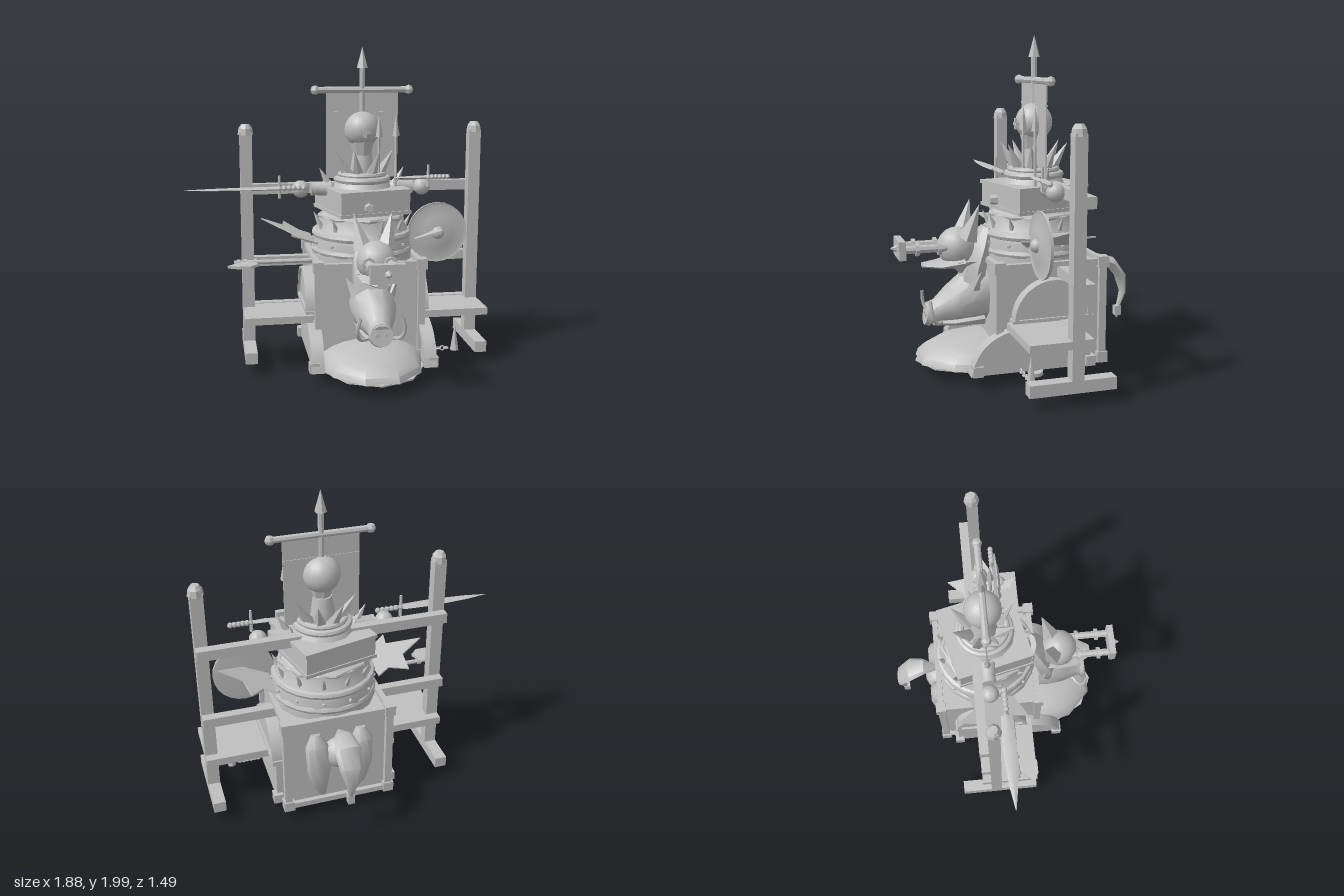
import * as THREE from 'three';
import { toCreasedNormals } from 'three/addons/utils/BufferGeometryUtils.js';

const V = (x, y, z) => new THREE.Vector3(x, y, z);

// Tube of elliptical sections [x, y, z, halfWidth, halfThickness] along a path in the yz plane
function loft(sections, n = 10) {
  const pos = [], idx = [], last = sections.length - 1;
  sections.forEach(([x, y, z, rx, rn], i) => {
    const p = sections[Math.max(0, i - 1)], q = sections[Math.min(last, i + 1)];
    const l = Math.hypot(q[1] - p[1], q[2] - p[2]), ty = (q[1] - p[1]) / l, tz = (q[2] - p[2]) / l;
    for (let j = 0; j < n; j++) {
      const a = j / n * Math.PI * 2, s = Math.sin(a) * rn;
      pos.push(x + Math.cos(a) * rx, y + tz * s, z - ty * s);
    }
  });
  for (let i = 0; i < last; i++) for (let j = 0; j < n; j++) {
    const k = (j + 1) % n, a = i * n + j, b = i * n + k;
    idx.push(a, b, a + n, b, b + n, a + n);
  }
  for (let j = 1; j < n - 1; j++) idx.push(0, j + 1, j, last * n, last * n + j, last * n + j + 1);
  const g = new THREE.BufferGeometry();
  g.setAttribute('position', new THREE.Float32BufferAttribute(pos, 3));
  g.setIndex(idx);
  return g;
}

export function createModel() {
  const grey = new THREE.MeshStandardMaterial({ color: 0xbfbfbf, side: THREE.DoubleSide });
  grey.name = 'stone grey';
  const model = new THREE.Group();
  const root = new THREE.Group();
  root.name = 'warMachine';
  root.position.x = 0.165;
  model.add(root);

  const add = (name, geo, x = 0, y = 0, z = 0, rx = 0, ry = 0, rz = 0) => {
    const m = new THREE.Mesh(toCreasedNormals(geo, 0.65), grey);
    m.name = name;
    m.position.set(x, y, z);
    m.rotation.set(rx, ry, rz);
    root.add(m);
    return m;
  };
  const box = (name, w, h, d, x, y, z, ry = 0) => add(name, new THREE.BoxGeometry(w, h, d), x, y, z, 0, ry);
  const ball = (name, r, x, y, z, n = 14) => add(name, new THREE.SphereGeometry(r, n, n - 4), x, y, z);
  const rod = (name, a, b, r0, r1 = r0, n = 8) => {
    const d = b.clone().sub(a), c = a.clone().add(b).multiplyScalar(0.5);
    const m = add(name, new THREE.CylinderGeometry(r1, r0, d.length(), n), c.x, c.y, c.z);
    m.quaternion.setFromUnitVectors(V(0, 1, 0), d.normalize());
    return m;
  };
  const ring = (name, r, t, y, n = 24) => add(name, new THREE.TorusGeometry(r, t, 8, n), 0, y, Z, Math.PI / 2);
  const shape = pts => new THREE.Shape(pts.map(p => new THREE.Vector2(p[0], p[1])));
  const slab = (s, depth) => new THREE.ExtrudeGeometry(s, { depth, bevelEnabled: false, curveSegments: 14 });
  const Z = -0.13;

  // Cabin with corner posts and edge rails
  box('cabin', 0.63, 0.6, 0.62, 0, 0.38, Z);
  for (const s of [-1, 1]) {
    for (const z of [-0.45, 0.18]) {
      box('cornerPost', 0.045, 0.6, 0.045, s * 0.32, 0.39, z);
      for (const y of [0.11, 0.69]) box('cornerCap', 0.065, 0.065, 0.065, s * 0.32, y, z);
    }
    for (const y of [0.1, 0.69]) box('sideRail', 0.035, 0.035, 0.62, s * 0.32, y, Z);
  }
  for (const z of [-0.45, 0.18]) for (const y of [0.1, 0.69]) box('crossRail', 0.63, 0.035, 0.035, 0, y, z);

  // Front apron: flattened half dome on a flat floor
  const apron = new THREE.SphereGeometry(1, 10, 6, 0, Math.PI * 2, 0, Math.PI / 2);
  apron.scale(0.33, 0.15, 0.43);
  add('apron', apron, 0, 0.08, 0.18);
  const floor = new THREE.CylinderGeometry(1, 1, 0.01, 10);
  floor.scale(0.33, 1, 0.43);
  add('apronFloor', floor, 0, 0.08, 0.18);

  // Arched side panels and curved front fenders
  const half = r => { const s = new THREE.Shape(); s.moveTo(r, 0); s.absarc(0, 0, r, 0, Math.PI); return s; };
  const rim = half(0.235);
  rim.holes.push(new THREE.Path().absarc(0, 0.012, 0.21, 0, Math.PI));
  const fender = new THREE.Shape();
  fender.moveTo(0.35, 0.08);
  fender.quadraticCurveTo(0.31, 0.29, 0.1, 0.32);
  fender.lineTo(0.1, 0.08);
  const fenderRim = new THREE.Shape();
  fenderRim.moveTo(0.36, 0.08);
  fenderRim.quadraticCurveTo(0.32, 0.3, 0.1, 0.335);
  fenderRim.lineTo(0.1, 0.305);
  fenderRim.quadraticCurveTo(0.29, 0.27, 0.325, 0.08);
  for (const s of [-1, 1]) {
    const panel = (name, sh, d, y, z) => add(name, slab(sh, d), s * 0.345 + d / 2, y, z, 0, -Math.PI / 2);
    panel('archPanel', half(0.23), 0.06, 0.38, Z);
    panel('archRim', rim, 0.09, 0.38, Z);
    panel('fender', fender, 0.05, 0, 0);
    panel('fenderRim', fenderRim, 0.08, 0, 0);
    box('lowerPanel', 0.05, 0.3, 0.47, s * 0.345, 0.23, Z);
    box('archSill', 0.09, 0.03, 0.49, s * 0.345, 0.375, Z);
    for (const z of [0.32, -0.36]) box('sideCap', 0.06, 0.06, 0.06, s * 0.365, 0.11, z);
    // Stepped frame beside the cabin
    const px = s * 0.728;
    box('tallPost', 0.075, 1.4, 0.07, px, 0.78, -0.135);
    add('postCap', new THREE.CylinderGeometry(0.042, 0.048, 0.04, 8), px, 1.485, -0.135);
    add('postKnob', new THREE.CylinderGeometry(0.025, 0.042, 0.025, 8), px, 1.518, -0.135);
    box('postFoot', 0.075, 0.07, 0.5, px, 0.115, -0.11);
    box('step', 0.42, 0.045, 0.34, s * 0.555, 0.35, -0.03);
  }
  for (const [y, h] of [[1.117, 0.065], [0.65, 0.06], [0.352, 0.05]]) box('frameBar', 1.53, h, 0.055, 0, y, -0.198);

  // Stepped round turret
  const turret = [[0.32, 0.68], [0.32, 0.73], [0.31, 0.8], [0.3, 0.86], [0.285, 0.88], [0.27, 0.95], [0.23, 0.98], [0, 0.98]];
  add('turret', new THREE.LatheGeometry(turret.map(p => new THREE.Vector2(p[0], p[1])), 16), 0, 0, Z);
  ring('turretRing', 0.3, 0.025, 0.74);
  ring('turretRing', 0.295, 0.025, 0.84);
  ring('turretRing', 0.27, 0.015, 0.95, 8);
  for (let i = 0; i < 12; i++) {
    const a = (i + 0.5) / 12 * Math.PI * 2, c = Math.cos(a), s = Math.sin(a);
    rod('turretSpike', V(c * 0.27, 0.88, Z + s * 0.27), V(c * 0.31, 0.96, Z + s * 0.31), 0.02, 0.001, 5);
    ball('turretStud', 0.012, c * 0.315, 0.79, Z + s * 0.315, 7);
  }

  // Twisted block with bolts, then collar
  box('chestBlock', 0.46, 0.15, 0.46, 0, 1.05, Z, 0.23);
  for (const y of [0.985, 1.12]) box('chestBand', 0.475, 0.022, 0.475, 0, y, Z, 0.23);
  rod('chestBolt', V(0, 1.03, 0.1), V(0, 1.03, 0.145), 0.033, 0.025, 6);
  add('shoulders', new THREE.CylinderGeometry(0.14, 0.2, 0.1, 12), 0, 1.16, Z);
  ring('collar', 0.16, 0.022, 1.18);
  ring('collar', 0.14, 0.018, 1.21);
  for (let i = 0; i < 8; i++) {
    const a = (i + 0.5) / 8 * Math.PI * 2, c = Math.cos(a), s = Math.sin(a);
    rod('collarSpike', V(c * 0.1, 1.2, Z + s * 0.1), V(c * 0.2, 1.37, Z + s * 0.2), 0.042, 0.001, 5);
  }
  for (const s of [-1, 1]) rod('shoulderSpike', V(s * 0.2, 1.12, Z), V(s * 0.27, 1.25, Z), 0.035, 0.001, 5);

  // Rider's head with crossed helmet
  add('neck', new THREE.CylinderGeometry(0.06, 0.085, 0.16, 10), 0, 1.27, Z);
  add('face', new THREE.CylinderGeometry(0.085, 0.055, 0.12, 8), 0, 1.39, Z + 0.01);
  ball('helmet', 0.112, 0, 1.49, Z, 18);
  box('helmetCross', 0.065, 0.018, 0.03, 0, 1.48, -0.025);
  box('helmetCross', 0.018, 0.065, 0.03, 0, 1.48, -0.025);

  // Banner on its pole
  rod('bannerPole', V(0, 1.2, Z), V(0, 1.9, Z), 0.018);
  add('poleTip', new THREE.ConeGeometry(0.036, 0.13, 6), 0, 1.935, Z);
  rod('bannerBar', V(-0.29, 1.735, Z), V(0.29, 1.735, Z), 0.02);
  box('bannerCloth', 0.455, 0.55, 0.008, 0, 1.46, Z);
  box('bannerHem', 0.455, 0.012, 0.016, 0, 1.595, Z);
  for (const s of [-1, 1]) ball('barEnd', 0.03, s * 0.295, 1.735, Z, 8);

  // Upright javelins
  for (const [x, z] of [[0.09, -0.035], [0.205, -0.07]]) {
    rod('javelin', V(x, 1.1, z), V(x, 1.48, z), 0.009, 0.009, 6);
    rod('javelinTip', V(x, 1.45, z), V(x, 1.59, z), 0.024, 0.001, 5);
  }

  // Arms and jagged side wings
  const wing = shape([[0, -0.12], [0.17, -0.2], [0.15, -0.1], [0.35, 0.02], [0.2, 0.08], [0.18, 0.24], [0.08, 0.13], [0, 0.16]]);
  for (const s of [-1, 1]) {
    rod('sleeve', V(s * 0.2, 1.12, Z), V(s * 0.32, 1.12, Z), 0.05, 0.04, 10);
    rod('cuff', V(s * 0.3, 1.12, Z), V(s * 0.325, 1.12, Z), 0.045, 0.045, 10);
    ball('fist', 0.055, s * 0.39, 1.12, Z);
    const w = add('wing', slab(wing, 0.008), s * 0.32, 0.8, -0.1, Math.PI / 2);
    w.scale.x = s;
    w.rotation.set(-Math.PI / 2, s * -0.4, 0, 'ZXY');
  }

  // Beaded grip with guard, shared by both blades
  const hilt = (x0, x1, guard, y, z) => {
    rod('grip', V(x0, y, z), V(x1, y, z), 0.011);
    for (let i = 0; i <= 5; i++) ball('gripBead', 0.018, x0 + (x1 - x0) * i / 5, y, z, 8);
    rod('guard', V(guard, y - 0.06, z), V(guard, y + 0.08, z), 0.012, 0.008, 6);
  };
  const blade = (name, tip, base, w, y, z) => {
    const l = tip - base;
    add(name, loft([[0, 0, 0, w * 0.8, 0.012], [0, 0, l * 0.35, w, 0.011], [0, 0, l * 0.75, w * 0.6, 0.007], [0, 0, l, 0.002, 0.002]]
      .map(p => [p[0], p[1], Math.abs(p[2]), p[3], p[4]]), 4), base, y, z, 0, Math.sign(l) * Math.PI / 2);
  };
  blade('swordBlade', -1.105, -0.54, 0.043, 1.14, -0.045);
  hilt(-0.53, -0.38, -0.53, 1.14, -0.045);
  blade('daggerBlade', 0.19, 0.4, 0.025, 1.19, -0.045);
  hilt(0.41, 0.535, 0.41, 1.19, -0.045);

  // Axe on the right, round shield on the left
  rod('axeHandle', V(-0.82, 0.69, 0), V(-0.3, 0.69, 0), 0.014);
  add('axeBlade', slab(shape([[-0.73, 0], [-0.79, 0.03], [-0.86, 0.1], [-0.8, 0.13], [-0.72, 0.13], [-0.67, 0.08], [-0.7, 0]]), 0.016), 0, 0.698, 0, Math.PI / 2);
  for (const x of [-0.7, -0.76, -0.8]) rod('axeBand', V(x, 0.69, 0), V(x + 0.02, 0.69, 0), 0.022);
  const disc = [[0, 0.025], [0.1, 0.02], [0.175, 0], [0.192, 0.005], [0.192, -0.012], [0.17, -0.015], [0, 0]];
  add('shield', new THREE.LatheGeometry(disc.map(p => new THREE.Vector2(p[0], p[1])), 24), 0.468, 0.84, -0.015, Math.PI / 2);
  ball('shieldBoss', 0.04, 0.468, 0.84, 0.005);

  // Boar head: snout to neck, with eyes, nose, ears and tusks
  add('boarHead', loft([[0, 0.36, 0.53, 0.065, 0.065], [0, 0.375, 0.47, 0.075, 0.075], [0, 0.41, 0.38, 0.115, 0.115],
    [0, 0.45, 0.29, 0.14, 0.15], [0, 0.47, 0.15, 0.13, 0.17]], 10));
  rod('snoutDisc', V(0, 0.36, 0.515), V(0, 0.365, 0.545), 0.075, 0.068, 14);
  add('boarJaw', loft([[0, 0.31, 0.5, 0.05, 0.02], [0, 0.31, 0.38, 0.08, 0.03], [0, 0.33, 0.2, 0.1, 0.06]], 8));
  add('mane', loft([[0, 0.5, 0.27, 0.12, 0.08], [0, 0.64, 0.25, 0.13, 0.08], [0, 0.76, 0.21, 0.12, 0.07], [0, 0.87, 0.17, 0.07, 0.03]], 7));
  for (const s of [-1, 1]) {
    ball('boarEye', 0.017, s * 0.085, 0.49, 0.36, 8);
    rod('nostril', V(s * 0.025, 0.365, 0.54), V(s * 0.025, 0.365, 0.55), 0.013);
    rod('boarEar', V(s * 0.1, 0.53, 0.27), V(s * 0.16, 0.63, 0.24), 0.04, 0.002, 5);
    const tusk = new THREE.CatmullRomCurve3([V(s * 0.06, 0.32, 0.46), V(s * 0.12, 0.33, 0.5), V(s * 0.14, 0.39, 0.53), V(s * 0.125, 0.47, 0.54)]);
    add('tusk', new THREE.TubeGeometry(tusk, 8, 0.011, 6));
  }

  // Horned gunner's helm with twin barrels
  ball('hornedHelm', 0.118, 0, 0.76, 0.35, 14);
  add('helmJaw', loft([[0, 0.66, 0.56, 0.04, 0.014], [0, 0.66, 0.46, 0.1, 0.02], [0, 0.68, 0.32, 0.12, 0.05]], 8));
  add('helmBeard', new THREE.ConeGeometry(0.13, 0.12, 6), 0, 0.625, 0.3, Math.PI);
  for (const s of [-1, 1]) {
    rod('helmHorn', V(s * 0.07, 0.82, 0.3), V(s * 0.115, 1.025, 0.24), 0.062, 0.001, 5);
    rod('barrel', V(s * 0.065, 0.77, 0.4), V(s * 0.065, 0.77, 0.67), 0.024, 0.024, 8);
    for (const z of [0.46, 0.59]) rod('barrelBand', V(s * 0.065, 0.77, z), V(s * 0.065, 0.77, z + 0.02), 0.04, 0.04, 8);
  }
  box('muzzlePlate', 0.2, 0.11, 0.04, 0, 0.77, 0.69);
  rod('muzzleSpike', V(0, 0.77, 0.7), V(0, 0.77, 0.745), 0.028, 0.003, 6);

  // Hindquarters and plume tail
  for (const s of [-1, 1]) add('haunch', loft([[s * 0.14, 0.6, -0.45, 0.03, 0.03], [s * 0.14, 0.53, -0.47, 0.07, 0.05],
    [s * 0.13, 0.36, -0.48, 0.075, 0.05], [s * 0.12, 0.22, -0.46, 0.05, 0.04], [s * 0.1, 0.14, -0.44, 0.02, 0.02]], 10));
  ball('rump', 0.1, 0, 0.45, -0.45);
  add('tail', loft([[0, 0.6, -0.47, 0.02, 0.02], [0, 0.635, -0.55, 0.055, 0.025], [0, 0.6, -0.64, 0.08, 0.035],
    [0, 0.51, -0.71, 0.07, 0.03], [0, 0.4, -0.73, 0.035, 0.018], [0, 0.3, -0.7, 0.015, 0.012]], 8));
  box('tailTip', 0.04, 0.06, 0.04, 0, 0.28, -0.695);
  add('tailPoint', new THREE.ConeGeometry(0.02, 0.03, 4), 0, 0.24, -0.695, Math.PI);

  // Chain to a ground stake, and wheels below the floor
  for (let i = 0; i < 6; i++)
    add('chainLink', new THREE.TorusGeometry(0.014, 0.005, 5, 8), 0.395 + i * 0.025, 0.095, 0.07, i % 2 * Math.PI / 2);
  add('stake', new THREE.ConeGeometry(0.028, 0.18, 6), 0.575, 0.17, 0.07);
  for (const [x, z, t] of [[0.265, -0.06, 0.12], [-0.27, -0.22, -0.2]]) {
    add('undersideDisc', new THREE.CylinderGeometry(0.048, 0.048, 0.024, 10), x, 0.028, z, 0.1, 0, -t);
    rod('discStem', V(x, 0.03, z), V(x, 0.09, z), 0.012);
  }
  return model;
}
